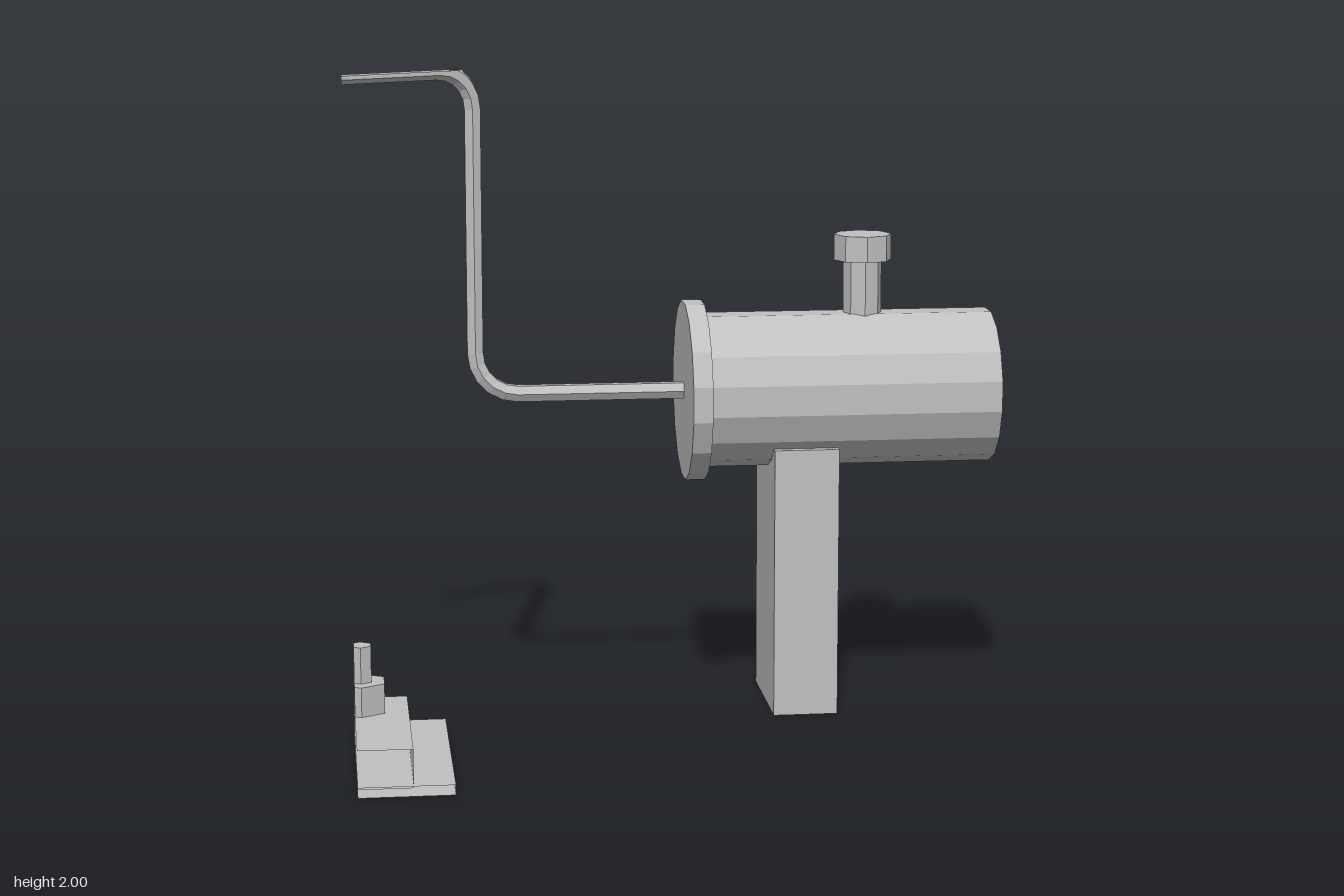
import * as THREE from 'three';

// Cuts a geometry on one axis, keeping the side where sign * coordinate <= sign * limit.
function clip(geometry, axis, limit, sign = 1) {
  const p = (geometry.index ? geometry.toNonIndexed() : geometry).attributes.position;
  const out = [];
  for (let i = 0; i < p.count; i += 3) {
    const tri = [0, 1, 2].map((k) => new THREE.Vector3().fromBufferAttribute(p, i + k));
    const poly = [];
    tri.forEach((a, k) => {
      const b = tri[(k + 1) % 3];
      const da = sign * (a[axis] - limit), db = sign * (b[axis] - limit);
      if (da <= 0) poly.push(a);
      if (da * db < 0) poly.push(a.clone().lerp(b, da / (da - db)));
    });
    for (let k = 1; k + 1 < poly.length; k++)
      for (const v of [poly[0], poly[k], poly[k + 1]]) out.push(v.x, v.y, v.z);
  }
  const g = new THREE.BufferGeometry();
  g.setAttribute('position', new THREE.Float32BufferAttribute(out, 3));
  g.computeVertexNormals();
  return g;
}

// Path that keeps its own corner points as tube rings.
class Polyline extends THREE.Curve {
  constructor(points) { super(); this.points = points; }
  getPointAt(u, target = new THREE.Vector3()) {
    return target.copy(this.points[Math.round(u * (this.points.length - 1))]);
  }
  getPoint(u, target) { return this.getPointAt(u, target); }
  getTangentAt(u, target = new THREE.Vector3()) {
    const n = this.points.length - 1, i = Math.round(u * n);
    const at = (k) => this.points[Math.min(n, Math.max(0, k))];
    const before = at(i).clone().sub(at(i - 1)).normalize();
    const after = at(i + 1).clone().sub(at(i)).normalize();
    return target.copy(before.add(after)).normalize();
  }
  getTangent(u, target) { return this.getTangentAt(u, target); }
}

// Quarter bend around a corner, entering along dirIn and leaving along dirOut.
function bend(corner, dirIn, dirOut, radius, steps = 5) {
  return Array.from({ length: steps + 1 }, (_, i) => {
    const a = (i / steps) * Math.PI / 2;
    return corner.clone()
      .addScaledVector(dirIn, -radius * (1 - Math.sin(a)))
      .addScaledVector(dirOut, radius * (1 - Math.cos(a)));
  });
}

export function createModel() {
  const group = new THREE.Group();
  const metal = new THREE.MeshStandardMaterial({ color: 0xc0c0c0, flatShading: true, side: THREE.DoubleSide });
  metal.name = 'greyMetal';
  const axisZ = -0.31;

  const add = (name, geometry) => {
    const mesh = new THREE.Mesh(geometry, metal);
    mesh.name = name;
    group.add(mesh);
    return mesh;
  };
  const box = (x0, x1, y0, y1, z0, z1) => new THREE.BoxGeometry(x1 - x0, y1 - y0, z1 - z0)
    .translate((x0 + x1) / 2, (y0 + y1) / 2, (z0 + z1) / 2);
  const post = (radius, sides, x, y0, y1, z) => new THREE.CylinderGeometry(radius, radius, y1 - y0, sides)
    .translate(x, (y0 + y1) / 2, z);
  const drum = (radius, x0, x1, open) => new THREE.CylinderGeometry(radius, radius, x1 - x0, 16, 1, open, Math.PI / 16)
    .rotateZ(Math.PI / 2).translate((x0 + x1) / 2, 1, axisZ);

  // Barrel on its support
  add('barrel', drum(0.24, 0.1, 1, true));
  add('flange', drum(0.28, 0.04, 0.1, false));
  add('support', box(0.3, 0.5, 0, 0.84, -0.51, -0.11));

  // Clamping screw through the barrel
  add('screwStem', post(0.06, 8, 0.6, 1, 1.4, axisZ));
  add('screwHead', post(0.09, 8, 0.6, 1.4, 1.48, axisZ));

  // Cranked rod, cut open along its top run
  const left = new THREE.Vector3(-1, 0, 0), up = new THREE.Vector3(0, 1, 0);
  const outward = new THREE.Vector3(-0.4, 0, 0.195).normalize();
  const path = [
    new THREE.Vector3(0.05, 1, axisZ),
    ...bend(new THREE.Vector3(-0.605, 1, axisZ), left, up, 0.13),
    ...bend(new THREE.Vector3(-0.605, 2, axisZ), up, outward, 0.12),
    new THREE.Vector3(-0.605, 2, axisZ).addScaledVector(outward, 0.55),
  ];
  const rod = new THREE.TubeGeometry(new Polyline(path), path.length - 1, 0.028, 6, false);
  add('crankRod', clip(clip(rod, 'y', 2), 'x', -1, -1));

  // Bolted foot, open where it is cut at the side and front
  const cut = (geometry) => clip(clip(geometry, 'x', -1, -1), 'z', 0.59);
  add('basePlate', cut(box(-1.2, -0.72, 0, 0.03, -0.09, 0.8)));
  add('footBlock', cut(box(-1.2, -0.84, 0.025, 0.14, 0.03, 0.8)));
  add('nut', cut(post(0.08, 6, -0.98, 0.135, 0.23, 0.17)));
  add('stud', cut(post(0.036, 6, -0.98, 0.225, 0.34, 0.17)));

  return group;
}
